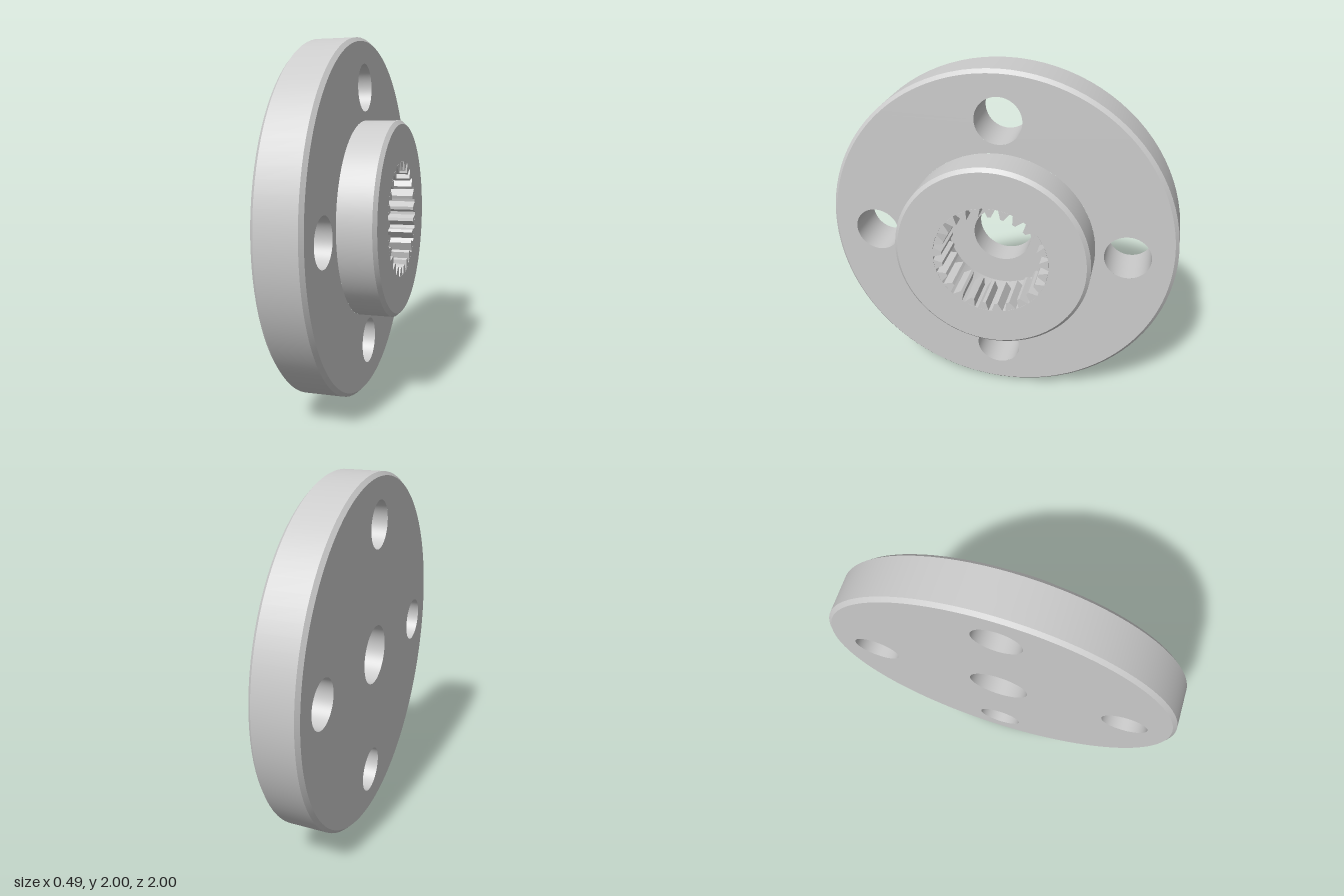
import * as THREE from 'three';
import { mergeGeometries } from 'three/addons/utils/BufferGeometryUtils.js';

const SEG = 96;
const BACK = -0.2325, FLANGE = 0.025, FRONT = 0.2325;
const HOLE_R = 0.13, HOLE_PITCH = 0.73, BORE_R = 0.168, POCKET_R = 0.325;
const TEETH = 25, TOOTH_LENGTH = 0.23;
const material = new THREE.MeshStandardMaterial({ color: 0xcccccc });

// Turned surface round the z axis, points are [radius, z]; every edge stays sharp
function turned(points, segments = SEG) {
  const bands = [];
  for (let i = 0; i < points.length - 1; i++) {
    const pair = [points[i], points[i + 1]].map(([r, z]) => new THREE.Vector2(r, z));
    bands.push(new THREE.LatheGeometry(pair, segments));
  }
  return mergeGeometries(bands).rotateX(Math.PI / 2);
}

const holeCentres = [0, 1, 2, 3].map((i) => {
  const a = (i * Math.PI) / 2;
  return [HOLE_PITCH * Math.cos(a), HOLE_PITCH * Math.sin(a)];
});

// Flat ring pierced by the bolt holes
function piercedFace(outer, inner) {
  const shape = new THREE.Shape().absarc(0, 0, outer, 0, Math.PI * 2);
  for (const [x, y, r] of [[0, 0, inner], ...holeCentres.map((c) => [...c, HOLE_R])]) {
    shape.holes.push(new THREE.Path().absarc(x, y, r, 0, Math.PI * 2, true));
  }
  return new THREE.ShapeGeometry(shape, SEG);
}

export function createModel() {
  const model = new THREE.Group();
  model.name = 'splinedFlange';
  const part = new THREE.Group();
  part.name = 'flangeAndHub';
  const add = (name, geometry) => {
    const mesh = new THREE.Mesh(geometry, material);
    mesh.name = name;
    part.add(mesh);
    return mesh;
  };

  // Chamfered disc rim and its two pierced faces
  add('flangeRim', turned([[0.98, BACK], [1, BACK + 0.02], [1, FLANGE - 0.02], [0.98, FLANGE]]));
  add('flangeFrontFace', piercedFace(0.98, 0.55).translate(0, 0, FLANGE));
  add('flangeBackFace', piercedFace(0.98, BORE_R).rotateY(Math.PI).translate(0, 0, BACK));

  // Raised hub, stepped pocket and through bore
  add('hub', turned([
    [0.55, FLANGE], [0.55, FRONT - 0.02], [0.53, FRONT], [POCKET_R, FRONT],
    [POCKET_R, -0.08], [BORE_R, -0.08], [BORE_R, BACK],
  ]));

  // Bolt hole walls
  for (const [x, y] of holeCentres) {
    add('boltHole', turned([[HOLE_R, FLANGE], [HOLE_R, BACK]])).position.set(x, y, 0);
  }

  // Internal spline teeth, pointing inward with one at the top
  const toothShape = new THREE.Shape([
    [-0.032, 0.3235], [-0.009, 0.275], [0.009, 0.275], [0.032, 0.3235],
  ].map(([x, y]) => new THREE.Vector2(x, y)));
  const tooth = new THREE.ExtrudeGeometry(toothShape, { depth: TOOTH_LENGTH, bevelEnabled: false })
    .translate(0, 0, FRONT - TOOTH_LENGTH);
  for (let i = 0; i < TEETH; i++) {
    add('splineTooth', tooth).rotation.z = (i * Math.PI * 2) / TEETH;
  }

  // Turn the axis to +x, with a very slight roll and lean
  part.rotation.set(0, Math.PI / 2, 0.007);
  const lean = new THREE.Group();
  lean.name = 'leaningBody';
  lean.add(part);
  lean.rotation.z = 0.015;
  lean.position.y = 1.002;
  model.add(lean);
  return model;
}
